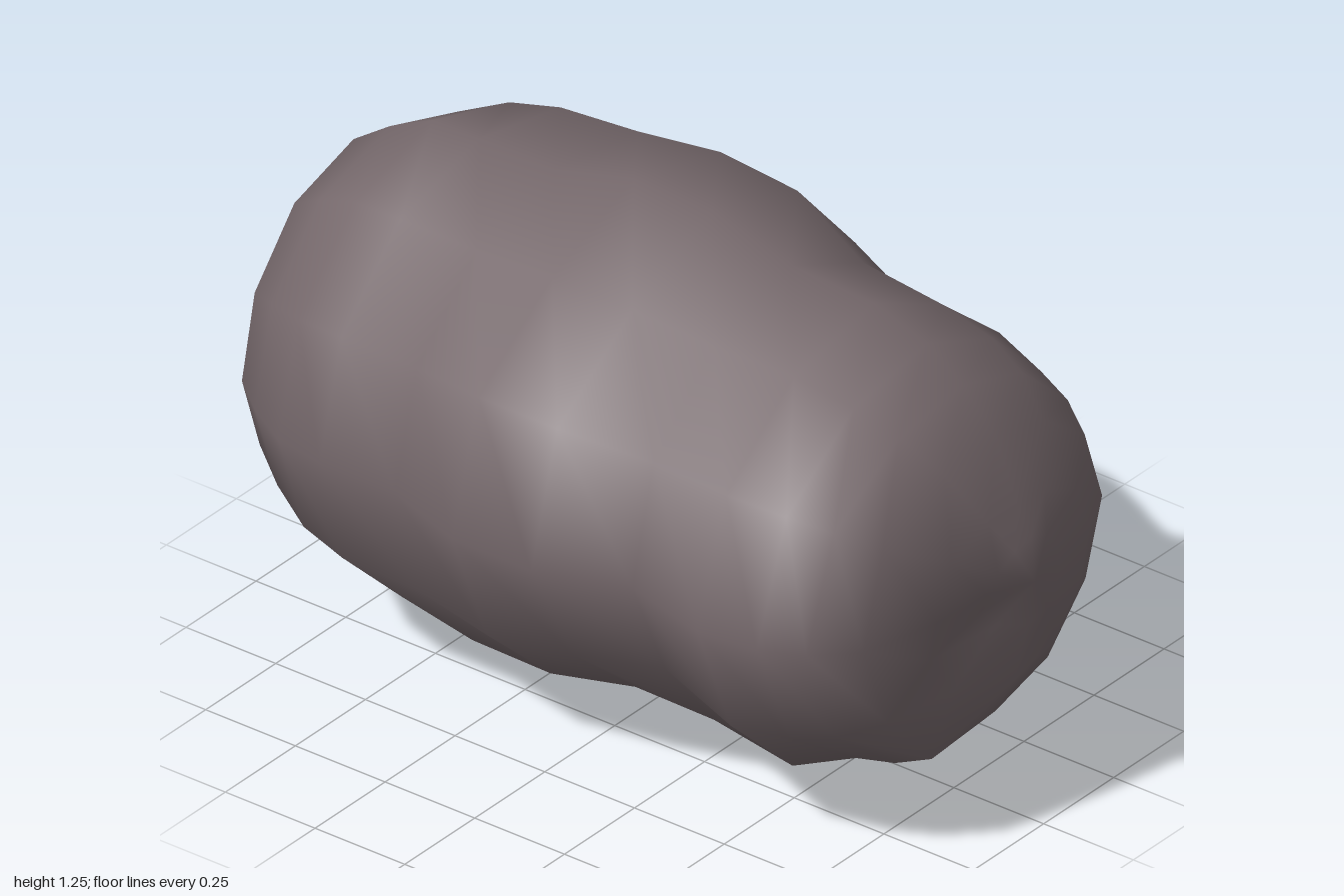
import * as THREE from 'three';

const SIDES = 12;
const CX = -0.03, CY = 0.64;

// Cross-sections: z, then reach from the axis to +x, up, -x, down
const rings = [
  [0.99, 0.1, 0.11, 0.11, 0.12],
  [0.95, 0.26, 0.18, 0.27, 0.27],
  [0.89, 0.38, 0.33, 0.47, 0.37],
  [0.8, 0.43, 0.43, 0.56, 0.43],
  [0.7, 0.46, 0.5, 0.61, 0.48],
  [0.55, 0.51, 0.55, 0.63, 0.57],
  [0.32, 0.49, 0.56, 0.57, 0.57],
  [0.1, 0.58, 0.62, 0.65, 0.57],
  [-0.12, 0.63, 0.62, 0.65, 0.64],
  [-0.34, 0.71, 0.56, 0.57, 0.64],
  [-0.55, 0.65, 0.56, 0.57, 0.57],
  [-0.68, 0.52, 0.56, 0.55, 0.48],
  [-0.8, 0.45, 0.5, 0.48, 0.41],
  [-0.9, 0.38, 0.43, 0.4, 0.35],
  [-0.96, 0.27, 0.26, 0.29, 0.28],
  [-1.0, 0.13, 0.14, 0.13, 0.14],
];

// Lumps and hollows: angle in degrees, z, height, length along z
const lumps = [
  [60, 0.5, -0.05, 0.25],
  [30, -0.4, -0.03, 0.3],
  [300, -0.3, -0.03, 0.2],
  [330, 0.0, -0.07, 0.6],
  [330, -0.7, 0.06, 0.12],
  [120, 0.0, -0.07, 0.2],
  [150, 0.9, 0.03, 0.08],
  [210, 0.15, -0.055, 0.45],
  [240, -0.1, -0.05, 0.4],
  [240, 0.87, 0.06, 0.08],
];

// Dents in the two ends: x, y, depth, width, height
const frontDent = [-0.18, 0.5, 0.12, 0.1, 0.14];
const backDent = [-0.05, 0.68, 0.06, 0.2, 0.07];

function radius(ring, angle) {
  const k = Math.floor(angle / 90) % 4;
  const s = Math.sin(THREE.MathUtils.degToRad(angle - k * 90)) ** 2;
  let r = THREE.MathUtils.lerp(ring[1 + k], ring[1 + (k + 1) % 4], s);
  for (const [a, z, h, len] of lumps) {
    const turn = Math.abs(((angle - a + 540) % 360) - 180) / 18;
    r += h * Math.exp(-(turn ** 2) - ((ring[0] - z) / len) ** 2);
  }
  return r;
}

function dented(x, y, z) {
  if (Math.abs(z) < 0.85) return z;
  const [dx, dy, depth, w, h] = z > 0 ? frontDent : backDent;
  const d = ((x - dx) / w) ** 2 + ((y - dy) / h) ** 2;
  return z - Math.sign(z) * depth * Math.exp(-d);
}

function bodyGeometry() {
  const points = [], index = [];
  const add = (x, y, z) => points.push(x, y, dented(x, y, z));

  for (const ring of rings) {
    for (let j = 0; j < SIDES; j++) {
      const angle = j * 360 / SIDES;
      const a = THREE.MathUtils.degToRad(angle);
      const r = radius(ring, angle);
      add(CX + r * Math.cos(a), CY + r * Math.sin(a), ring[0]);
    }
  }
  const front = rings.length * SIDES, back = front + 1;
  add(CX, CY, 1.005);
  add(CX, CY, -1);

  const last = (rings.length - 1) * SIDES;
  for (let j = 0; j < SIDES; j++) {
    const n = (j + 1) % SIDES;
    index.push(front, j, n, back, last + n, last + j);
    for (let i = 0; i < last; i += SIDES) {
      index.push(i + j, i + SIDES + j, i + n);
      index.push(i + n, i + SIDES + j, i + SIDES + n);
    }
  }
  const geometry = new THREE.BufferGeometry();
  geometry.setAttribute('position', new THREE.Float32BufferAttribute(points, 3));
  geometry.setIndex(index);
  geometry.computeVertexNormals();
  return geometry;
}

export function createModel() {
  const stone = new THREE.MeshStandardMaterial({ color: 0x75686b });
  stone.name = 'greyBrownStone';

  // One lumpy, rounded boulder lying along z
  const boulder = new THREE.Mesh(bodyGeometry(), stone);
  boulder.name = 'boulder';

  const model = new THREE.Group();
  model.name = 'rock';
  model.add(boulder);
  return model;
}
